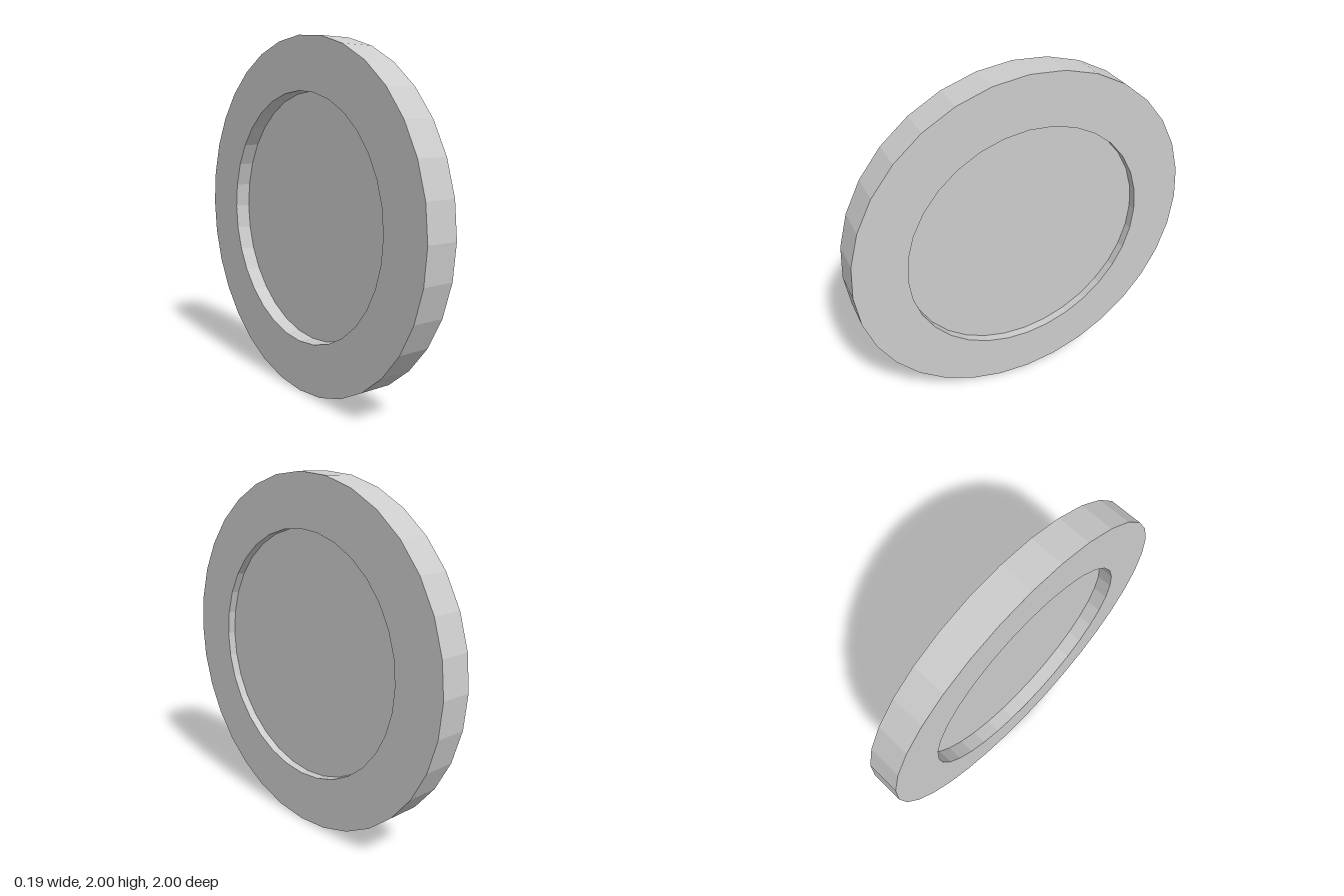
import * as THREE from 'three';

export function createModel() {
  const group = new THREE.Group();
  const material = new THREE.MeshStandardMaterial({ color: 0xcccccc, flatShading: true });
  const SIDES = 32, OUTER = 1, INNER = 0.705, HALF = 0.093;

  // Turned parts are made around y, then laid over so the axis runs along x
  const add = (name, geometry, x = 0) => {
    geometry.rotateZ(-Math.PI / 2);
    const mesh = new THREE.Mesh(geometry, material);
    mesh.name = name;
    mesh.position.set(x, OUTER, 0);
    group.add(mesh);
  };

  // Rim: rectangular section swept around the axis
  const section = [[INNER, -HALF], [OUTER, -HALF], [OUTER, HALF], [INNER, HALF], [INNER, -HALF]];
  add('rim', new THREE.LatheGeometry(section.map(([r, y]) => new THREE.Vector2(r, y)), SIDES));

  // Recessed centre disc, set deeper on the -x side
  const discBack = -0.004, discFront = 0.046;
  add('centreDisc',
    new THREE.CylinderGeometry(INNER, INNER, discFront - discBack, SIDES),
    (discFront + discBack) / 2);

  return group;
}
